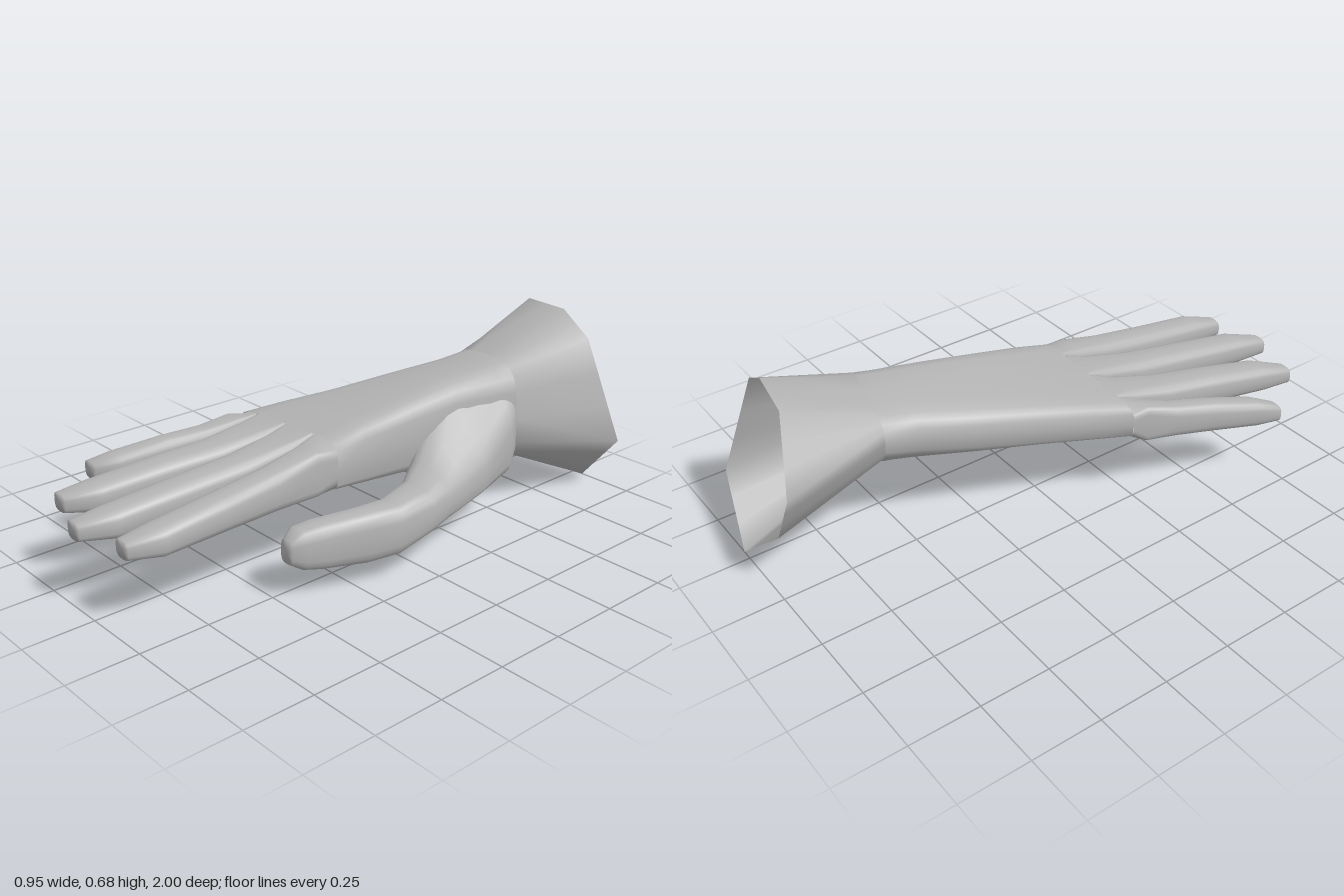
import * as THREE from 'three';

const fabric = new THREE.MeshStandardMaterial({ color: 0xb4b4b4, side: THREE.DoubleSide });
fabric.name = 'greyFabric';

const { lerp } = THREE.MathUtils;

// Skin a list of closed rings of [x, y, z] points, running towards +z.
function skin(name, rings) {
  const n = rings[0].length, index = [];
  for (let i = 0; i < rings.length - 1; i++) {
    for (let j = 0; j < n; j++) {
      const a = i * n + j, b = i * n + (j + 1) % n;
      index.push(a, b, a + n, b, b + n, a + n);
    }
  }
  const geo = new THREE.BufferGeometry();
  geo.setAttribute('position', new THREE.Float32BufferAttribute(rings.flat(2), 3));
  geo.setIndex(index);
  geo.computeVertexNormals();
  const mesh = new THREE.Mesh(geo, fabric);
  mesh.name = name;
  return mesh;
}

// Rounded ring across z: left/right edges, and top/bottom heights at each edge.
// A low power gives squarer corners.
function ring([z, xl, xr, topL, topR, botL, botR], power = 0.65) {
  const soft = v => Math.abs(v) < 1e-6 ? 0 : Math.sign(v) * Math.abs(v) ** power;
  return Array.from({ length: 20 }, (_, k) => {
    const t = k / 20 * Math.PI * 2;
    const u = soft(Math.cos(t)) / 2 + 0.5, v = soft(Math.sin(t)) / 2 + 0.5;
    return [lerp(xl, xr, u), lerp(lerp(botL, botR, u), lerp(topL, topR, u), v), z];
  });
}

// Close a tube with a rounded end.
function capped(rings) {
  const last = rings[rings.length - 1];
  const centre = [0, 1, 2].map(k => last.reduce((sum, p) => sum + p[k], 0) / last.length);
  return [...rings, last.map(() => centre)];
}

export function createModel() {
  const glove = new THREE.Group();
  glove.name = 'glove';

  // Wrist seam, shared by hand and cuff, slanting towards the thumb
  const wrist = ring([0, -0.022, 0.342, 0.54, 0.57, 0.375, 0.165])
    .map(([x, y]) => [x, y, -0.565 + (x - 0.16) * 0.2]);

  // Hand, from the wrist to the knuckle line, left open where the fingers join
  const left = -0.295, right = 0.225, knucklePower = 0.42;
  const top = x => 0.432 + 0.058 * x, bot = x => 0.263 - 0.058 * x;
  glove.add(skin('hand', [wrist,
    ring([-0.48, -0.045, 0.325, 0.52, 0.565, 0.35, 0.18], 0.62),
    ring([-0.3, -0.11, 0.285, 0.49, 0.55, 0.325, 0.2], 0.56),
    ring([-0.1, -0.18, 0.262, 0.46, 0.512, 0.305, 0.225], 0.5),
    ring([0.08, -0.25, 0.24, 0.435, 0.475, 0.29, 0.24], 0.45),
    ring([0.2, left, right, top(left), top(right), bot(left), bot(right)], knucklePower),
  ]));

  // Fit a finger root to the rounded outline of the knuckle line
  const fitRoot = ([x, y, z]) => {
    const s = Math.min(1, Math.abs((x - left) / (right - left) * 2 - 1));
    const mid = (top(x) + bot(x)) / 2;
    return [x, mid + (y - mid) * (1 - s ** (2 / knucklePower)) ** (knucklePower / 2), z];
  };

  // Four fingers: root edges, edges near the tip, tip z
  const fingers = {
    littleFinger: [left, -0.2, -0.48, -0.38, 0.725],
    ringFinger: [-0.2, -0.047, -0.325, -0.208, 0.93],
    middleFinger: [-0.047, 0.1, -0.122, -0.008, 1],
    indexFinger: [0.1, right, 0.08, 0.195, 0.955],
  };
  for (const [name, [xl, xr, tl, tr, z1]] of Object.entries(fingers)) {
    const at = (f, height, floor, power) => {
      const l = lerp(xl, tl, f), r = lerp(xr, tr, f);
      return ring([lerp(0.2, z1, f), l, r, height, height, floor, floor], power);
    };
    glove.add(skin(name, capped([
      ring([0.2, xl, xr, top(xl), top(xr), bot(xl), bot(xr)], 0.15).map(fitRoot),
      at(0.1, 0.417 + 0.04 * xl, 0.265, 0.42),
      at(0.3, 0.39 + 0.03 * xl, 0.258, 0.65),
      at(0.55, 0.366, 0.248, 0.7),
      at(0.86, 0.335, 0.236, 0.7),
      ring([z1, tl + 0.003, tl + 0.073, 0.31, 0.31, 0.245, 0.245], 0.65),
    ])));
  }

  // Thumb, sloping down from the back of the hand, then bending inwards
  glove.add(skin('thumb', capped([
    ring([-0.55, 0.22, 0.33, 0.53, 0.44, 0.2, 0.2], 0.55),
    ring([-0.47, 0.2, 0.38, 0.545, 0.4, 0.17, 0.175], 0.52),
    ring([-0.3, 0.19, 0.417, 0.55, 0.3, 0.165, 0.16], 0.52),
    ring([-0.18, 0.21, 0.44, 0.43, 0.285, 0.16, 0.15], 0.55),
    ring([-0.09, 0.25, 0.457, 0.325, 0.285, 0.15, 0.14]),
    ...[
      [0, 0.305, 0.475, 0.295, 0.285, 0.13, 0.13],
      [0.12, 0.318, 0.455, 0.27, 0.265, 0.085, 0.09],
      [0.22, 0.298, 0.42, 0.262, 0.26, 0.078, 0.08],
      [0.37, 0.25, 0.37, 0.25, 0.25, 0.09, 0.09],
      [0.43, 0.243, 0.345, 0.242, 0.238, 0.1, 0.1],
      [0.475, 0.265, 0.325, 0.215, 0.215, 0.13, 0.13],
    ].map(s => ring(s)),
  ])));

  // Flared, open cuff: rim corners as [ring step, x, y, z], with straight edges between
  const corners = [
    [0, 0.477, 0.21, -0.95], [3, 0.375, 0.6, -0.86], [5, 0.24, 0.677, -0.88],
    [7, 0.05, 0.67, -0.91], [10, -0.13, 0.48, -1], [13, 0, 0.25, -0.99],
    [17, 0.29, 0, -1], [20, 0.477, 0.21, -0.95],
  ];
  const rim = wrist.map((_, k) => {
    const i = corners.findIndex(c => c[0] > k), a = corners[i - 1], b = corners[i];
    return [1, 2, 3].map(c => lerp(a[c], b[c], (k - a[0]) / (b[0] - a[0])));
  });
  glove.add(skin('cuff', [rim, wrist]));

  return glove;
}
